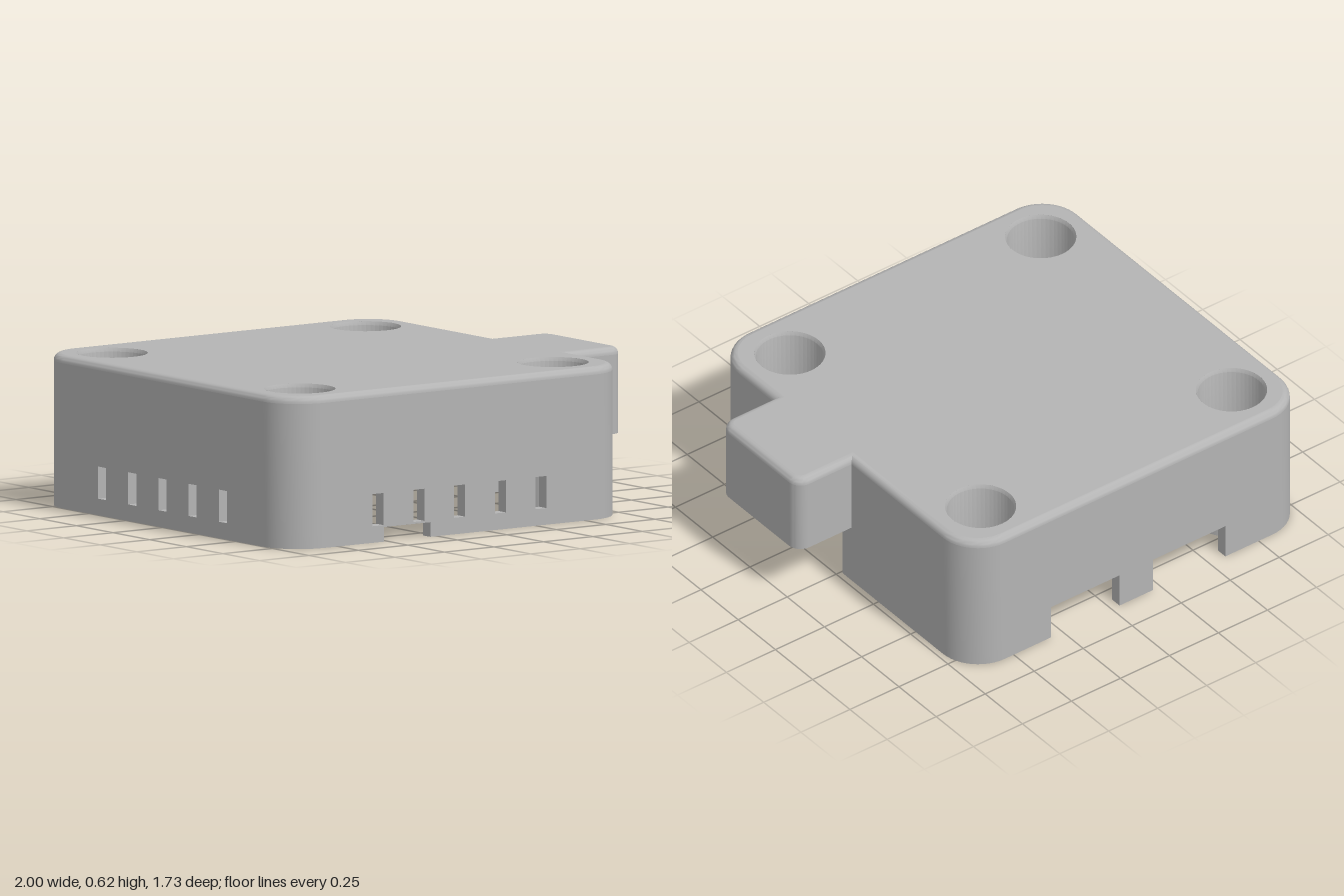
import * as THREE from 'three';
import { toCreasedNormals } from 'three/addons/utils/BufferGeometryUtils.js';

const HALF = 0.8625, CX = -0.1375;        // square body half size and x centre
const R = 0.18, WALL = 0.05;              // corner radius, wall thickness
const TOP = 0.625, RIM = 0.03;            // total height, rounded top edge
const BODY_TOP = TOP - RIM;
const POSTS = [[-0.78, -0.64], [0.5, -0.64], [-0.78, 0.64], [0.5, 0.64]];

const arc = (cx, cy, r, from, n = 12) =>
  Array.from({ length: n + 1 }, (_, i) => {
    const a = from + (i / n) * Math.PI / 2;
    return new THREE.Vector2(cx + r * Math.cos(a), cy + r * Math.sin(a));
  });

// Plan outline (x, z) of the square body with its side box, shrunk by inset
function outline(inset) {
  const c = HALF - R, r = R - inset, e = 0.06 - inset, q = Math.PI / 2;
  const side = CX + HALF - inset;
  return [
    ...arc(CX + c, -c, r, -q),
    new THREE.Vector2(side, -0.07 + inset),
    ...arc(0.94, -0.01, e, -q),
    ...arc(0.94, 0.39, e, 0),
    new THREE.Vector2(side, 0.45 - inset),
    ...arc(CX + c, c, r, 0),
    ...arc(CX - c, c, r, q),
    ...arc(CX - c, -c, r, 2 * q),
  ];
}

// Plan shape extruded between two heights
function slab(shape, y0, y1) {
  const g = new THREE.ExtrudeGeometry(shape, { depth: y1 - y0, bevelEnabled: false, curveSegments: 32 });
  g.rotateX(Math.PI / 2).translate(0, y1, 0);
  return toCreasedNormals(g, 0.5);
}

// Upright wall panel with notches [from, to, height] along the bottom, and vents
function panel(from, to, notches, vents) {
  const pts = [[from, 0]];
  for (const [a, b, h] of notches) pts.push([a, 0], [a, h], [b, h], [b, 0]);
  pts.push([to, 0], [to, BODY_TOP], [from, BODY_TOP]);
  const shape = new THREE.Shape(pts.map(p => new THREE.Vector2(...p)));
  for (const v of vents) {
    const a = v - 0.0275, b = v + 0.0275;
    shape.holes.push(new THREE.Path(
      [[a, 0.068], [a, 0.2], [b, 0.2], [b, 0.068]].map(p => new THREE.Vector2(...p))));
  }
  return new THREE.ExtrudeGeometry(shape, { depth: WALL, bevelEnabled: false });
}

// Rounded edge lofted through shrinking outlines
function roundedRim() {
  const steps = 6, pos = [], index = [];
  let n = 0;
  for (let i = 0; i <= steps; i++) {
    const a = (i / steps) * Math.PI / 2;
    const ring = outline(RIM * (1 - Math.cos(a)));
    n = ring.length;
    for (const p of ring) pos.push(p.x, BODY_TOP + RIM * Math.sin(a), p.y);
  }
  for (let i = 0; i < steps; i++) for (let j = 0; j < n; j++) {
    const a = i * n + j, b = i * n + (j + 1) % n;
    index.push(a, a + n, b, b, a + n, b + n);
  }
  const g = new THREE.BufferGeometry();
  g.setAttribute('position', new THREE.Float32BufferAttribute(pos, 3));
  g.setIndex(index);
  return toCreasedNormals(g, 0.6);
}

export function createModel() {
  const model = new THREE.Group();
  model.name = 'enclosureCover';
  const grey = new THREE.MeshStandardMaterial({ color: 0xb4b4b4 });
  grey.name = 'grey plastic';
  const add = (name, geometry, x = 0, y = 0, z = 0) => {
    const m = new THREE.Mesh(geometry, grey);
    m.name = name;
    m.position.set(x, y, z);
    model.add(m);
    return m;
  };

  // Roof plate with four screw openings, and its rounded edge
  const roof = new THREE.Shape(outline(RIM));
  for (const [x, z] of POSTS) roof.holes.push(new THREE.Path().absarc(x, z, 0.145, 0, Math.PI * 2, true));
  add('roof', slab(roof, TOP - WALL, TOP));
  add('roofEdge', roundedRim());

  // Straight walls
  const c = HALF - R, x0 = CX - c, x1 = CX + c;
  const row = mid => [-2, -1, 0, 1, 2].map(i => mid + i * 0.206);
  add('frontWall', panel(x0, x1, [[-0.52, -0.285, 0.06]], row(-0.137)), 0, 0, HALF - WALL);
  add('backWall', panel(x0, x1, [[-0.58, -0.21, 0.155], [-0.04, 0.31, 0.155]], []), 0, 0, -HALF);
  const turn = -Math.PI / 2;
  add('leftWall', panel(-c, c, [[-0.01, 0.4, TOP - WALL]], []).rotateY(turn), CX + HALF);
  add('rightWall', panel(-c, c, [], row(0)).rotateY(turn), CX - HALF + WALL);

  // Rounded corner walls
  [[1, 1], [-1, 1], [-1, -1], [1, -1]].forEach(([sx, sz], i) => {
    const a = i * Math.PI / 2, x = CX + sx * c, z = sz * c;
    const ring = [...arc(x, z, R, a), ...arc(x, z, R - WALL, a).reverse()];
    add('cornerWall', slab(new THREE.Shape(ring), 0, BODY_TOP));
  });

  // Side box, open underneath and toward the body
  const q = Math.PI / 2, inner = CX + HALF - WALL;
  const box = [
    new THREE.Vector2(inner, -0.07), ...arc(0.94, -0.01, 0.06, -q), ...arc(0.94, 0.39, 0.06, 0),
    new THREE.Vector2(inner, 0.45), new THREE.Vector2(inner, 0.4),
    new THREE.Vector2(0.95, 0.4), new THREE.Vector2(0.95, -0.01), new THREE.Vector2(inner, -0.01),
  ];
  add('sideBoxWall', slab(new THREE.Shape(box), 0.27, BODY_TOP));

  // Hollow screw posts with a seat near the bottom
  const profile = [
    [0.075, 0.1], [0.075, 0], [0.17, 0], [0.17, 0.58], [0.145, TOP],
    [0.137, 0.61], [0.137, 0.1], [0.075, 0.1],
  ].map(p => new THREE.Vector2(...p));
  const post = toCreasedNormals(new THREE.LatheGeometry(profile, 48), 0.5);
  for (const [x, z] of POSTS) {
    add('screwPost', post, x, 0, z);
    // Small lugs around the inward side of the post foot
    const toward = Math.atan2(-z, CX - x);
    for (let i = -2; i <= 2; i++) {
      const a = toward + i * 0.45;
      const lug = add('postLug', new THREE.BoxGeometry(0.03, 0.04, 0.04),
        x + 0.17 * Math.cos(a), 0.02, z + 0.17 * Math.sin(a));
      lug.rotation.y = -a;
    }
  }
  return model;
}
